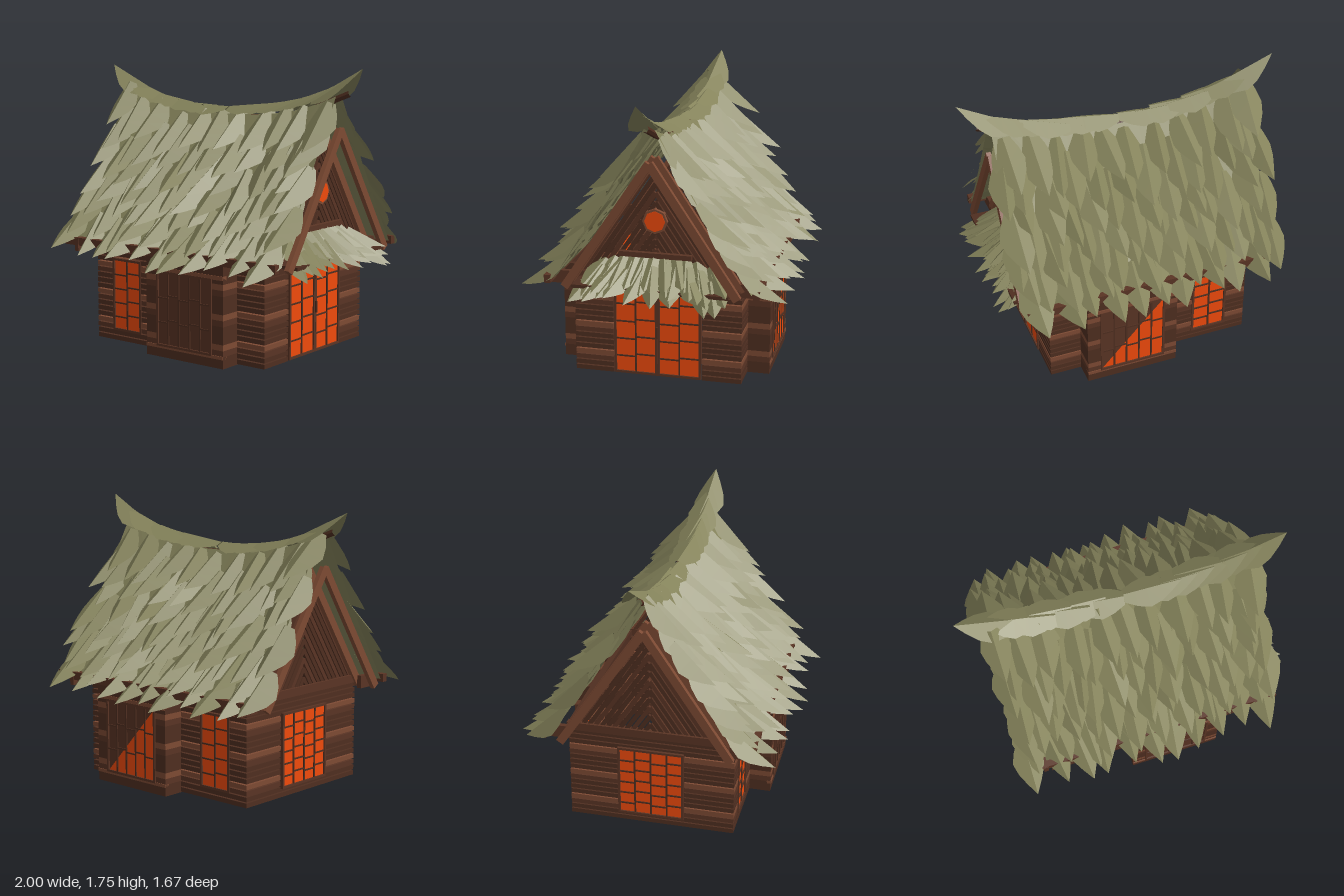
import * as THREE from 'three';
import { mergeGeometries } from 'three/addons/utils/BufferGeometryUtils.js';

const mat = (color, extra = {}) => new THREE.MeshStandardMaterial({ color, flatShading: true, ...extra });
const DARK = mat(0x4f2e20), MID = mat(0x5a3424), LIGHT = mat(0x7d4a33), GLOW = mat(0xf04a0c);
const THATCH = mat(0x85835b, { side: THREE.DoubleSide });

// seeded random in the range a..b
let seed = 7;
const rnd = (a, b) => {
  seed = (seed * 16807) % 2147483647;
  return a + (b - a) * seed / 2147483647;
};
const V = (x, y, z) => new THREE.Vector3(x, y, z);

function box(parent, name, m, w, h, d, x, y, z) {
  const b = new THREE.Mesh(new THREE.BoxGeometry(w, h, d), m);
  b.name = name;
  b.position.set(x, y, z);
  parent.add(b);
  return b;
}

function group(parent, name, x = 0, y = 0, z = 0, ry = 0) {
  const g = new THREE.Group();
  g.name = name;
  g.position.set(x, y, z);
  g.rotation.y = ry;
  parent.add(g);
  return g;
}

// horizontal planks of height h at a fixed pitch; hole = [x0, x1, y0, y1]
function plankWall(parent, x0, x1, hole, h = 0.028) {
  for (let i = 0; i < 17; i++) {
    const y = 0.018 + i * 0.036;
    const cut = hole && y > hole[2] && y < hole[3];
    const m = [DARK, MID, DARK, DARK, LIGHT][(i * 3) % 5];
    for (const [a, b] of cut ? [[x0, hole[0]], [hole[1], x1]] : [[x0, x1]])
      box(parent, 'plank', m, b - a, h, 0.03, (a + b) / 2, y, 0);
  }
}

// framed window facing +z, glazing bars on the outside, plain inside
function paneWindow(parent, w, h, cols, rows, pane) {
  box(parent, 'pane', pane, w, h, 0.012, 0, 0, 0.005);
  for (const s of [-1, 1]) {
    box(parent, 'frameSide', MID, 0.014, h + 0.014, 0.026, s * w / 2, 0, 0.008);
    box(parent, 'frameRail', MID, w, 0.014, 0.026, 0, s * h / 2, 0.008);
  }
  for (let c = 0; c < cols; c++) {
    const cx = -w / 2 + (c + 0.5) * w / cols;
    if (c) box(parent, 'mullion', DARK, 0.01, h, 0.012, cx - w / cols / 2, 0, 0.012);
    for (let r = 1; r < rows; r++)
      box(parent, 'glazingBar', DARK, w / cols, 0.009, 0.012, cx, -h / 2 + r * h / rows + (c % 2 ? 0.008 : -0.008), 0.012);
  }
}

// one pointed leaf folded along its midrib, growing along +y
function leafGeometry() {
  const g = new THREE.PlaneGeometry(1, 1, 2, 5), p = g.attributes.position;
  const width = [0.45, 0.8, 1, 0.82, 0.45, 0];
  for (let i = 0; i < p.count; i++) {
    const s = p.getY(i) + 0.5, f = width[Math.round(s * 5)], u = p.getX(i) * 2;
    p.setXYZ(i, u * f * 0.5, s, -Math.abs(u) * f * 0.5);
  }
  return g;
}
const LEAF = leafGeometry();

function leaf(list, root, dir, normal, w, l, depth) {
  const Y = dir.clone().normalize();
  const X = Y.clone().cross(normal).normalize();
  const Z = X.clone().cross(Y);
  const m = new THREE.Matrix4().makeBasis(X.multiplyScalar(w), Y.multiplyScalar(l), Z.multiplyScalar(depth));
  list.push(LEAF.clone().applyMatrix4(m.setPosition(root)));
}

function thatch(parent, name, list) {
  const m = new THREE.Mesh(mergeGeometries(list), THATCH);
  m.name = name;
  parent.add(m);
}

// saddle-shaped ridge and the slope below it
const ridgeY = x => 1.48 + 0.24 * Math.pow(Math.abs(x), 2.6);
const slope = (x, t, s) => {
  const top = ridgeY(x) - 0.04;
  return V(x, top + (0.63 - top) * t - 0.02 * Math.sin(Math.PI * t), s * (0.03 + 0.57 * t));
};

function buildRoof(root) {
  const roof = group(root, 'roof');
  for (const s of [-1, 1]) {
    // underlay
    const g = new THREE.PlaneGeometry(1.62, 1, 14, 8), p = g.attributes.position;
    for (let i = 0; i < p.count; i++) {
      const q = slope(p.getX(i), 0.5 - p.getY(i), s);
      p.setXYZ(i, q.x, q.y, q.z);
    }
    const under = new THREE.Mesh(g, THATCH);
    under.name = 'thatchUnderlay';
    roof.add(under);
    // overlapping, staggered rows of leaves
    const list = [];
    for (let r = 0; r < 7; r++) for (let i = 0; i < 11; i++) {
      const t = r * 0.133 + rnd(-0.035, 0.035);
      const x = THREE.MathUtils.clamp(-0.83 + (i + (r % 2) * 0.5) * 0.158 + rnd(-0.03, 0.03), -0.81, 0.78);
      const a = slope(x, t, s), d = slope(x, t + 0.05, s).sub(a).normalize();
      const n = V(0, Math.abs(d.z), s * Math.abs(d.y)).normalize();
      d.addScaledVector(n, rnd(0.2, 0.36)).add(V(rnd(-0.15, 0.15), 0, 0));
      leaf(list, a.addScaledVector(n, 0.02), d, n, rnd(0.18, 0.23), rnd(0.35, 0.4), rnd(0.1, 0.16));
    }
    thatch(roof, 'thatchSlope', list);
  }
  // ridge cap: folded leaves pointing to the upturned ends
  const cap = [];
  for (const s of [-1, 1]) for (let i = 0; i < 7; i++) {
    const x = s * i * 0.105, l = i === 6 ? 0.41 : 0.36, e = x + s * l;
    const a = V(x, ridgeY(x) + 0.005, rnd(-0.02, 0.02));
    const tip = V(e, ridgeY(e) + (s > 0 ? 0.025 : -0.015), s > 0 ? 0.03 : -0.03);
    leaf(cap, a, tip.sub(a), V(0, 1, 0), 0.2, l, i === 6 ? 0.16 : 0.11);
  }
  thatch(roof, 'ridgeCap', cap);
  const pts = [-0.89, -0.5, 0, 0.5, 0.89].map(x => V(x, ridgeY(x) - 0.06, 0));
  const pole = new THREE.Mesh(new THREE.TubeGeometry(new THREE.CatmullRomCurve3(pts), 16, 0.02, 6), DARK);
  pole.name = 'ridgePole';
  roof.add(pole);
}

// plank lying on a gable slope, from apex height down to (z, y)
function slopePlank(parent, name, m, apex, z, y, width, depth, x) {
  const len = Math.hypot(apex - y, z);
  const b = box(parent, name, m, depth, len, width, x, (apex + y) / 2, z / 2);
  b.rotation.x = Math.atan2(-z, apex - y);
}

function buildGable(root, side) {
  const g = group(root, side > 0 ? 'rightGable' : 'leftGable');
  for (const s of [-1, 1]) {
    for (const x of [0.69, 0.82]) slopePlank(g, 'bargeBoard', LIGHT, 1.38, s * 0.52, 0.6, 0.05, 0.03, side * x);
    // chevron slats
    for (let k = 0; k < 12; k++) {
      const apex = 1.34 - k * 0.058;
      slopePlank(g, 'chevronSlat', k % 3 ? DARK : MID, apex, s * 0.48 * (apex - 0.64) / 0.72, 0.64, 0.025, 0.02, side * 0.665);
    }
  }
  box(g, 'tieBeam', MID, 0.04, 0.05, 1.04, side * 0.67, 0.635, 0);
  if (side < 0) return;
  box(g, 'collarBeam', MID, 0.03, 0.03, 0.44, 0.69, 0.79, 0);
  box(g, 'soffit', DARK, 0.2, 0.02, 0.94, 0.75, 0.615, 0);
  // round window
  for (const [name, r, d, m] of [['roundFrame', 0.076, 0.04, LIGHT], ['roundPane', 0.063, 0.048, GLOW]]) {
    const c = new THREE.Mesh(new THREE.CylinderGeometry(r, r, d, 8), m);
    c.name = name;
    c.rotation.z = Math.PI / 2;
    c.position.set(0.68, 1, 0);
    g.add(c);
  }
  // fanned leaf canopy over the doors
  const list = [];
  for (let r = 0; r < 3; r++) for (let i = 0; i < 11; i++) {
    const u = -1 + i / 5 + rnd(-0.05, 0.05);
    const a = V(0.68 + r * 0.04, 0.8 - r * 0.035 - 0.05 * u * u, u * (0.31 + r * 0.02));
    const d = V(0.24, -0.18 + rnd(-0.05, 0.03), u * 0.14 + rnd(-0.06, 0.06));
    leaf(list, a, d, V(0.6, 0.8, 0), rnd(0.12, 0.16), rnd(0.23, 0.28), 0.09);
  }
  thatch(g, 'canopyThatch', list);
}

function buildLongSide(root, s) {
  const name = s > 0 ? 'front' : 'back', ry = s > 0 ? 0 : Math.PI;
  const wall = group(root, name + 'Wall', 0, 0, s * 0.5);
  plankWall(wall, -0.67, -0.14, [-0.535, -0.305, 0.07, 0.53]);
  plankWall(wall, 0.45, 0.65);
  paneWindow(group(root, name + 'Window', -0.42, 0.3, s * 0.5, ry), 0.22, 0.45, 2, 5, GLOW);
  // closely boarded bay
  plankWall(group(root, name + 'BayWall', 0, 0, s * 0.635), -0.14, 0.45, [-0.05, 0.36, 0.07, 0.53], 0.036);
  for (const x of [-0.125, 0.435])
    plankWall(group(root, name + 'BaySide', x, 0, s * 0.555, Math.PI / 2), -0.065, 0.065, null, 0.036);
  box(root, name + 'BayFloor', DARK, 0.57, 0.015, 0.15, 0.155, 0.012, s * 0.565);
  box(root, name + 'BayLintel', LIGHT, 0.59, 0.025, 0.036, 0.155, 0.54, s * 0.637);
  box(root, name + 'BaySill', LIGHT, 0.59, 0.02, 0.036, 0.155, 0.065, s * 0.637);
  const bay = group(root, name + 'BayWindow', 0.155, 0.3, s * 0.637, ry);
  paneWindow(bay, 0.41, 0.45, 5, 3, MID);
  if (s < 0) {
    // lit half of the back bay window
    const tri = new THREE.Shape([[-0.2, -0.22], [0.2, -0.22], [0.2, 0.22]].map(q => new THREE.Vector2(...q)));
    const lit = new THREE.Mesh(new THREE.ShapeGeometry(tri), GLOW);
    lit.name = 'litPane';
    lit.position.z = 0.0125;
    bay.add(lit);
  }
  // eave beam and bracket ends
  box(root, name + 'EaveBeam', MID, 1.64, 0.05, 0.04, 0, 0.635, s * 0.63);
  box(root, name + 'WallPlate', DARK, 1.34, 0.04, 0.04, -0.01, 0.63, s * 0.5);
  for (const x of [-0.72, 0.69]) box(root, 'bracket', MID, 0.03, 0.08, 0.16, x, 0.615, s * 0.575);
}

export function createModel() {
  seed = 7;
  const root = new THREE.Group();
  root.name = 'thatchedHut';
  for (const s of [1, -1]) {
    buildLongSide(root, s);
    buildGable(root, s);
  }
  // end walls
  plankWall(group(root, 'rightWall', 0.635, 0, 0, Math.PI / 2), -0.515, 0.515, [-0.275, 0.275, -0.1, 0.585]);
  plankWall(group(root, 'leftWall', -0.655, 0, 0, Math.PI / 2), -0.515, 0.515);
  for (const s of [-1, 1])
    paneWindow(group(root, 'door', 0.637, 0.295, s * 0.135, Math.PI / 2), 0.255, 0.56, 2, 5, GLOW);
  box(root, 'doorHandle', DARK, 0.02, 0.07, 0.012, 0.66, 0.29, 0);
  paneWindow(group(root, 'leftWindow', -0.667, 0.29, 0, -Math.PI / 2), 0.4, 0.45, 4, 6, GLOW);
  buildRoof(root);
  return root;
}
